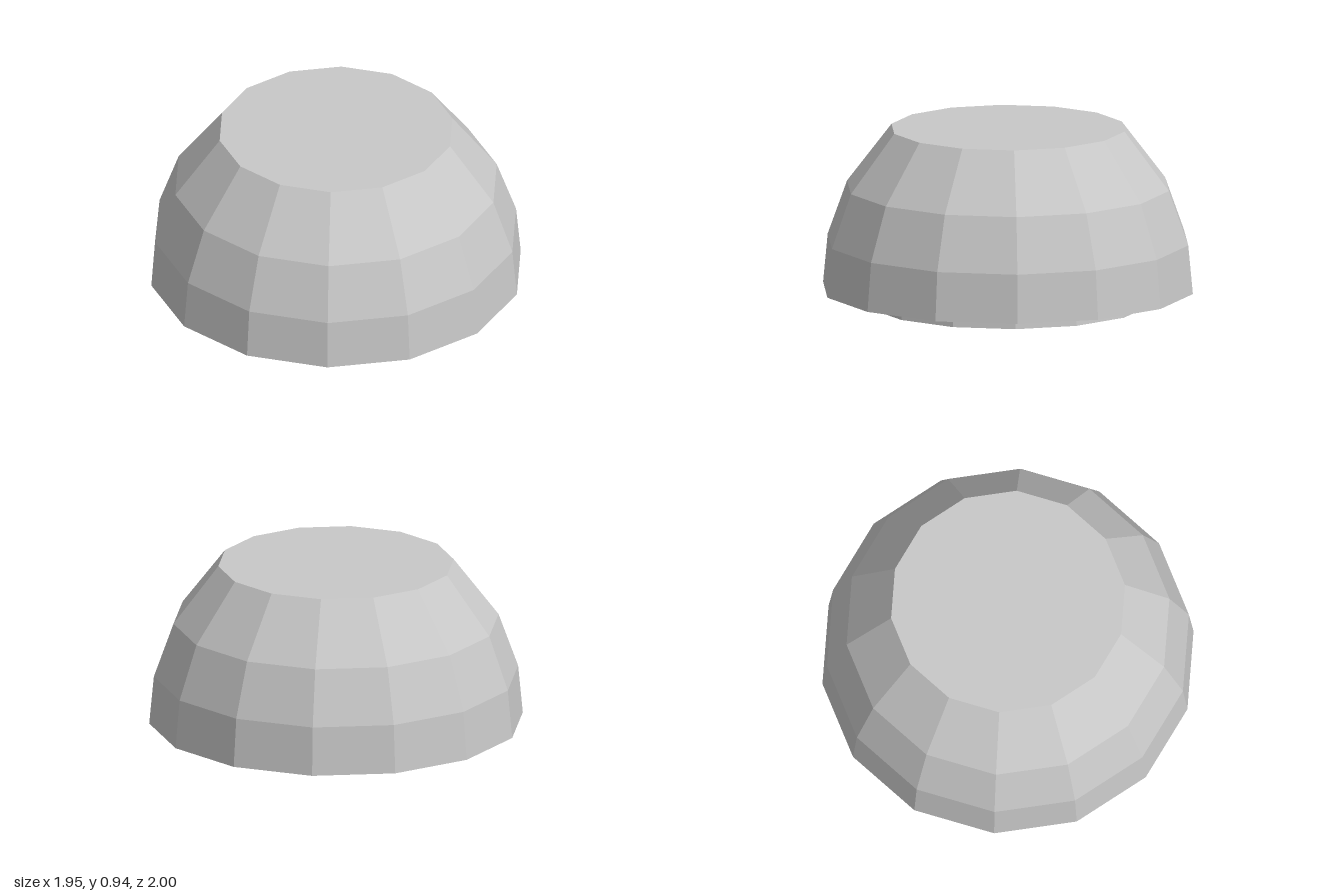
import * as THREE from 'three';

const SIDES = 14;

export function createModel() {
  const group = new THREE.Group();
  const grey = new THREE.MeshStandardMaterial({ color: 0xc8c8c8, flatShading: true, side: THREE.DoubleSide });
  grey.name = 'plain grey';

  function add(name, geometry, y = 0) {
    const mesh = new THREE.Mesh(geometry, grey);
    mesh.name = name;
    mesh.position.y = y;
    group.add(mesh);
  }

  // Faceted shell, open below, closed on top; profile is [radius, height] from the rim up
  function shell(profile) {
    const points = profile.map(([r, y]) => new THREE.Vector2(r, y));
    points.push(new THREE.Vector2(0, points[points.length - 1].y));
    const geometry = new THREE.LatheGeometry(points, SIDES).toNonIndexed();
    geometry.computeVertexNormals();
    return geometry;
  }

  // Outer dome with a flat top
  add('outerDome', shell([[1, 0.075], [0.975, 0.338], [0.87, 0.63], [0.63, 0.945]]));

  // Inner dome, its rim showing below the outer one
  add('innerDome', shell([[0.76, 0], [0.73, 0.27], [0.66, 0.43], [0.56, 0.57]]));

  // Small fitting at the centre of the hollow
  add('fittingPlate', new THREE.BoxGeometry(0.12, 0.008, 0.12), 0.124);
  add('fittingBlock', new THREE.BoxGeometry(0.065, 0.05, 0.065), 0.15);
  add('fittingTip', new THREE.BoxGeometry(0.057, 0.006, 0.057), 0.004);

  return group;
}
